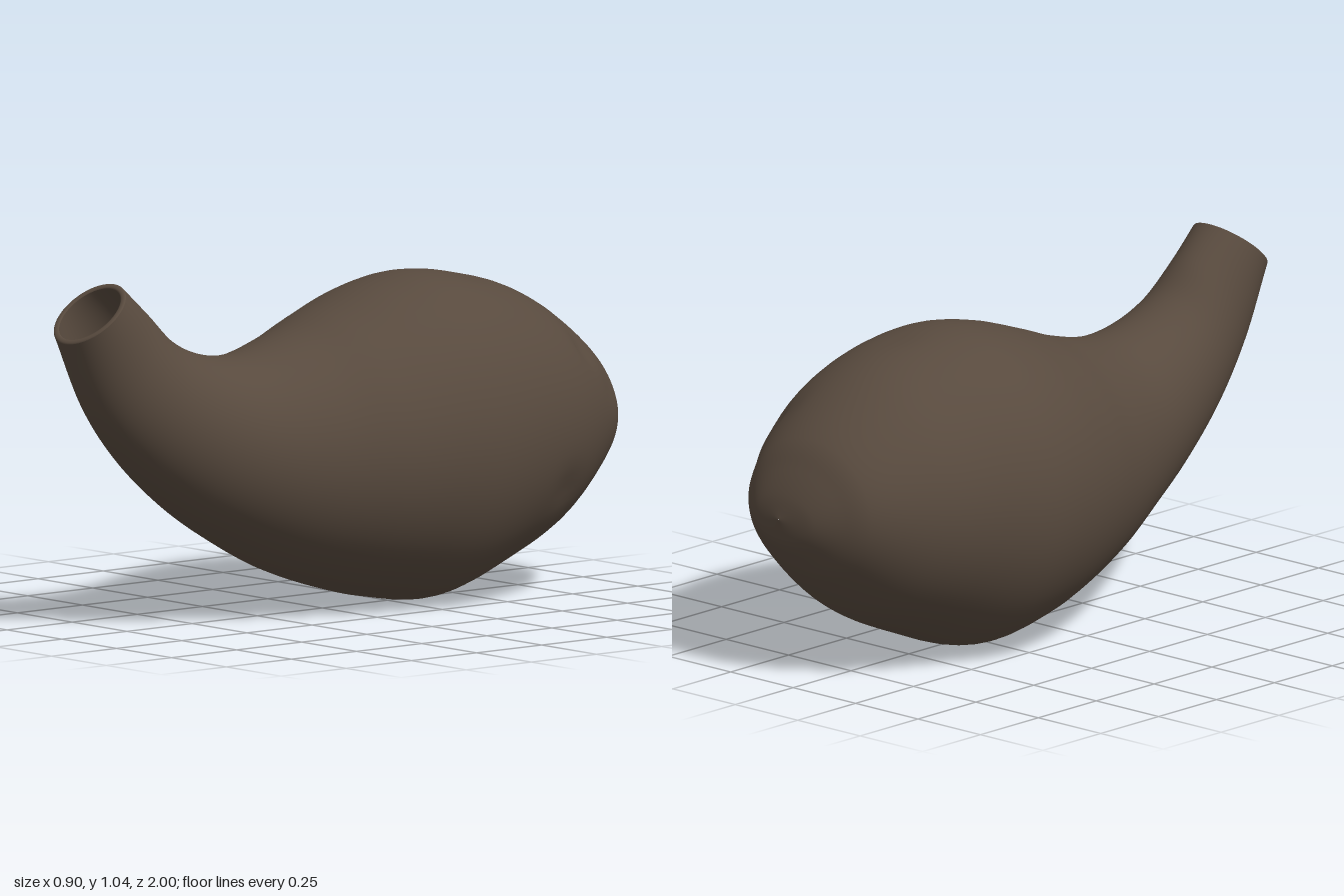
import * as THREE from 'three';

const SEGMENTS = 72;

// Cross-sections from blossom end to mouth: top z, top y, bottom z, bottom y, half width, centre x
const SECTIONS = [
  [-1.0, 0.5, -1.0, 0.5, 0, 0.06],
  [-0.985, 0.57, -0.985, 0.425, 0.11, 0.055],
  [-0.95, 0.65, -0.95, 0.365, 0.18, 0.04],
  [-0.9, 0.73, -0.9, 0.3, 0.245, 0.025],
  [-0.72, 0.87, -0.75, 0.165, 0.35, 0.015],
  [-0.55, 0.94, -0.55, 0.07, 0.41, 0.01],
  [-0.34, 0.97, -0.34, 0.0, 0.447, 0],
  [-0.18, 0.945, -0.15, 0.02, 0.432, 0],
  [0.0, 0.885, 0.0, 0.055, 0.393, 0.007],
  [0.15, 0.83, 0.22, 0.13, 0.325, 0.012],
  [0.36, 0.785, 0.4, 0.22, 0.258, 0.02],
  [0.51, 0.805, 0.57, 0.325, 0.21, 0.02],
  [0.625, 0.86, 0.75, 0.475, 0.168, 0.018],
  [0.715, 0.95, 0.89, 0.645, 0.135, 0.015],
  [0.81, 1.035, 1.0, 0.875, 0.12, 0.015],
];

// Shallow dents: x, y, z, radius, depth
const DENTS = [
  [0.27, 0.72, -0.78, 0.035, 0.012],
  [0.24, 0.58, -0.85, 0.04, 0.014],
  [0.36, 0.33, -0.64, 0.06, 0.01],
  [0.23, 0.8, -0.8, 0.05, 0.01],
  [0.06, 0.95, -0.5, 0.07, 0.006],
];
const HEART = new THREE.Vector3(0, 0.5, -0.35);

const curve = (pick) => new THREE.CatmullRomCurve3(SECTIONS.map(pick));
const topLine = curve((s) => new THREE.Vector3(0, s[1], s[0]));
const bottomLine = curve((s) => new THREE.Vector3(0, s[3], s[2]));
const widthLine = curve((s) => new THREE.Vector3(s[4], s[5], (s[0] + s[2]) / 2));

// One ring at t along the gourd, inset by the wall and pushed forward at the lip
function ring(t, inset = 0, push = 0) {
  const top = topLine.getPoint(t);
  const bottom = bottomLine.getPoint(t);
  const width = widthLine.getPoint(t);
  const mid = top.clone().add(bottom).multiplyScalar(0.5);
  const half = top.sub(bottom).multiplyScalar(0.5);
  const length = half.length();
  if (length > 0) half.multiplyScalar(Math.max(length - inset, 0) / length);
  mid.y += push * 0.77;
  mid.z += push * 0.64;
  const halfWidth = Math.max(width.x - inset, 0);
  return Array.from({ length: SEGMENTS }, (_, j) => {
    const a = (j / SEGMENTS) * Math.PI * 2;
    const p = mid.clone().addScaledVector(half, Math.cos(a));
    p.x = width.y + halfWidth * Math.sin(a);
    return p;
  });
}

function dent(p) {
  for (const [x, y, z, radius, depth] of DENTS) {
    const d = p.distanceTo(new THREE.Vector3(x, y, z));
    const inward = HEART.clone().sub(p).normalize();
    p.addScaledVector(inward, depth * Math.exp(-((d / radius) ** 2)));
  }
}

// Skin over a list of rings, smooth and closed around
function loft(rings) {
  const index = [];
  for (let i = 0; i < rings.length - 1; i++) {
    for (let j = 0; j < SEGMENTS; j++) {
      const k = (j + 1) % SEGMENTS;
      const a = i * SEGMENTS + j;
      const b = i * SEGMENTS + k;
      index.push(a, a + SEGMENTS, b, b, a + SEGMENTS, b + SEGMENTS);
    }
  }
  const geometry = new THREE.BufferGeometry().setFromPoints(rings.flat());
  geometry.setIndex(index);
  geometry.computeVertexNormals();
  return geometry;
}

export function createModel() {
  const group = new THREE.Group();
  group.name = 'gourd';
  const skin = new THREE.MeshStandardMaterial({ color: 0x584a3e });
  skin.name = 'brown skin';

  const add = (name, rings) => {
    const mesh = new THREE.Mesh(loft(rings), skin);
    mesh.name = name;
    group.add(mesh);
  };

  // Bulb and curved neck; the first ring is tiny so the blossom end stays smooth
  const outer = [];
  for (let i = 0; i <= 112; i++) outer.push(ring(Math.max(i / 112, 0.001)));
  outer.flat().forEach(dent);
  add('body', outer);

  // Rounded lip around the mouth
  const lip = [];
  for (let i = 0; i <= 6; i++) {
    const a = (i / 6) * Math.PI;
    lip.push(ring(1, 0.009 * (1 - Math.cos(a)), 0.004 * Math.sin(a)));
  }
  add('lip', lip);

  // Hollow inside the neck, closing to a rounded floor
  const hollow = [];
  for (let i = 0; i <= 16; i++) hollow.push(ring(1 - (i / 16) * 0.22, 0.018));
  for (let i = 1; i <= 8; i++) {
    const a = (i / 8) * Math.PI * 0.5;
    hollow.push(ring(0.78 - Math.sin(a) * 0.06, 0.018 + (1 - Math.cos(a)) * 0.3));
  }
  add('hollow', hollow);

  return group;
}
